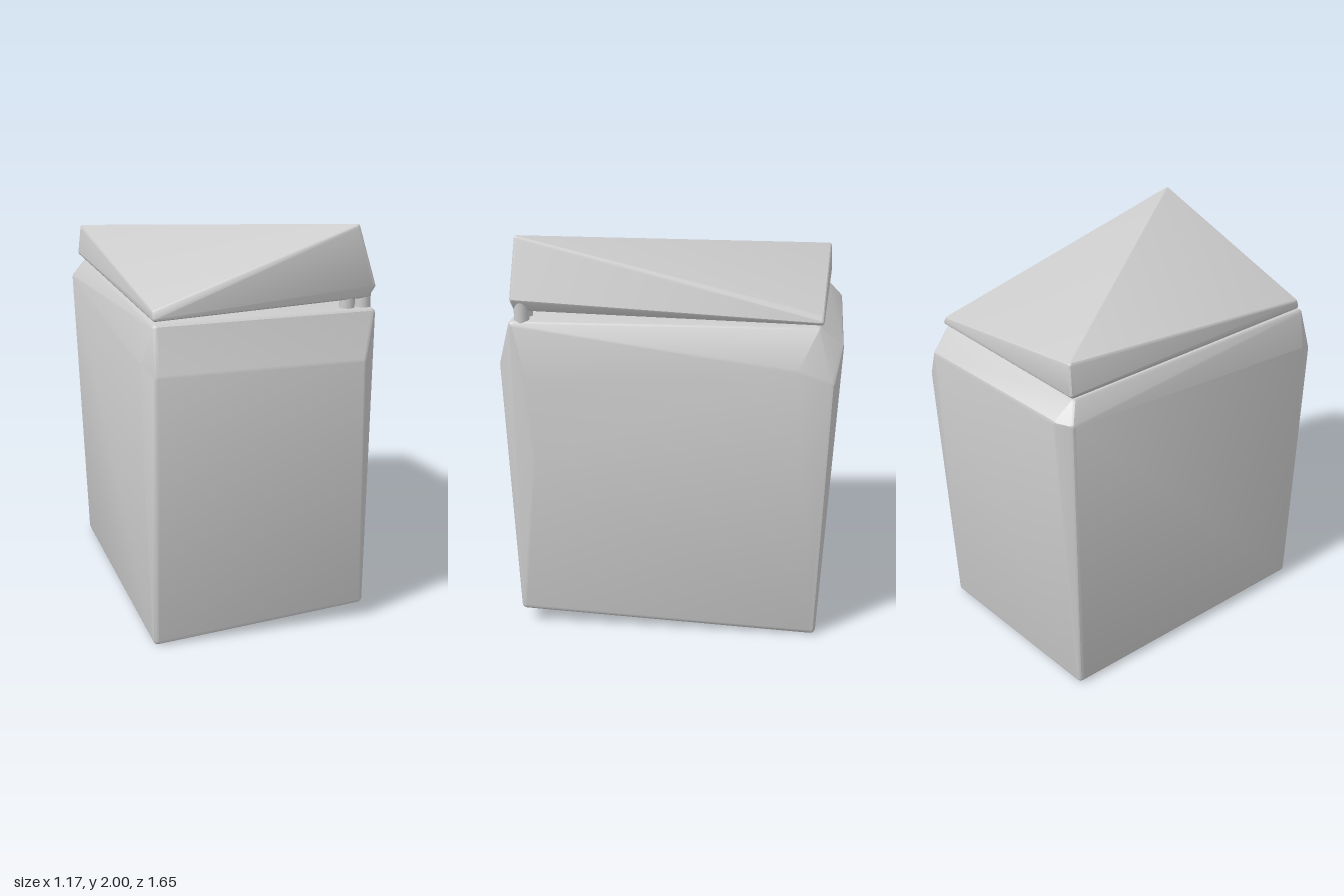
import * as THREE from 'three';
import { ConvexGeometry } from 'three/addons/geometries/ConvexGeometry.js';
import { toCreasedNormals } from 'three/addons/utils/BufferGeometryUtils.js';

// Convex block through outer corner points, with every corner rounded by radius r
function roundedHull(corners, r) {
  const ball = new THREE.IcosahedronGeometry(r, 1).getAttribute('position');
  const ys = corners.map((c) => c[1]);
  const low = Math.min(...ys) + r, high = Math.max(...ys) - r;
  const points = [];
  for (const [x, y, z] of corners) {
    const centre = new THREE.Vector3(
      x - Math.sign(x) * r, THREE.MathUtils.clamp(y, low, high), z - Math.sign(z) * r);
    const seen = new Set();
    for (let i = 0; i < ball.count; i++) {
      const v = new THREE.Vector3().fromBufferAttribute(ball, i);
      const key = v.toArray().map((n) => n.toFixed(4)).join();
      if (seen.has(key)) continue;
      seen.add(key);
      points.push(v.add(centre));
    }
  }
  return toCreasedNormals(new ConvexGeometry(points), 0.4);
}

export function createModel() {
  const group = new THREE.Group();
  const stone = new THREE.MeshStandardMaterial({ color: 0xcccccc });
  stone.name = 'pale grey stone';

  const add = (name, geometry) => {
    const mesh = new THREE.Mesh(geometry, stone);
    mesh.name = name;
    group.add(mesh);
    return mesh;
  };

  // Irregular body: lifted front corner below, bulging shoulders above
  add('body', roundedHull([
    // base
    [-0.54, 0, 0.75], [0.545, 0.1, 0.755], [0.52, 0, -0.745], [-0.545, 0, -0.745],
    // shoulders: front, left side, back, right side
    [-0.54, 1.37, 0.825], [0.50, 1.37, 0.825],
    [-0.58, 1.42, 0.74], [-0.588, 1.5, -0.80],
    [-0.52, 1.5, -0.83], [0.47, 1.49, -0.83],
    [0.555, 1.34, -0.80], [0.575, 1.4, -0.64],
    [0.583, 0.92, 0.67], [0.575, 1.3, 0.70],
    // rim
    [-0.53, 1.605, 0.765], [0.555, 1.605, 0.765],
    [0.50, 1.605, -0.73], [-0.54, 1.605, -0.75],
  ], 0.025));

  // Lid: wedge creased along the diagonal from the high front corner
  add('lid', roundedHull([
    // top
    [0.475, 2.0, 0.735], [-0.52, 1.65, 0.73], [0.485, 1.645, -0.735], [-0.54, 1.775, -0.765],
    // lower edge
    [0.555, 1.71, 0.75], [0.53, 1.665, 0.74],
    [-0.52, 1.61, 0.74], [0.50, 1.61, -0.735], [-0.555, 1.64, -0.77], [-0.54, 1.61, -0.755],
  ], 0.015));

  // Short posts propping up the high corner of the lid
  for (const x of [0.43, 0.51]) {
    const post = add('lidPost', new THREE.CylinderGeometry(0.037, 0.037, 0.16, 20));
    post.position.set(x, 1.64, 0.70);
  }
  return group;
}
